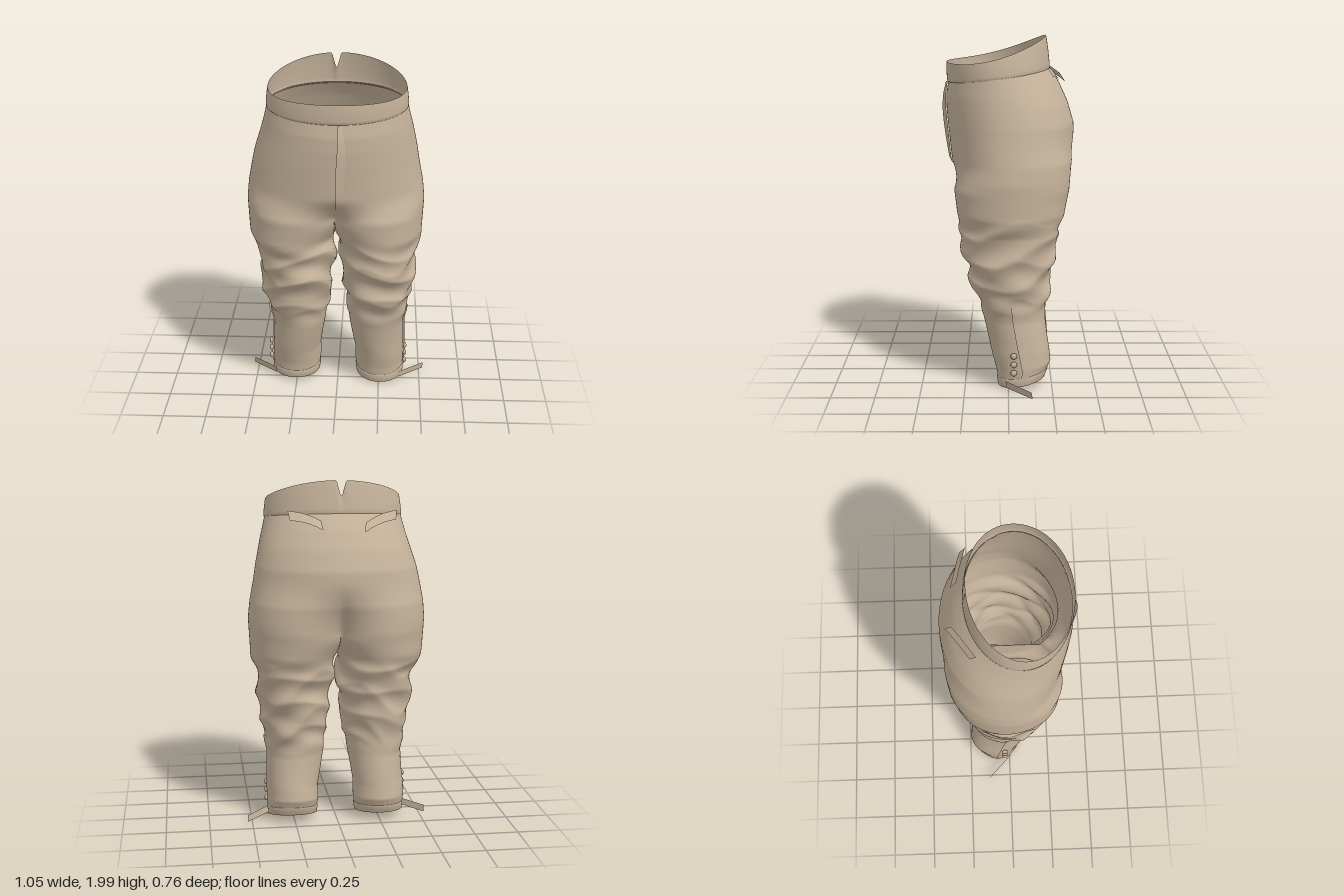
import * as THREE from 'three';
import { mergeGeometries, mergeVertices } from 'three/addons/utils/BufferGeometryUtils.js';

const { smoothstep, lerp } = THREE.MathUtils;
const DEG = Math.PI / 180;
const CROTCH = 1.12, TOP = 1.79, OUTER = 64, INNER = 24;

// Profile of one half: height, outer x, inner x, front z, back z
const PROFILE = [
  [0.00, 0.395, 0.118, 0.055, -0.205], [0.10, 0.40, 0.105, 0.07, -0.243], [0.20, 0.40, 0.105, 0.095, -0.235],
  [0.40, 0.39, 0.075, 0.145, -0.215], [0.50, 0.41, 0.06, 0.17, -0.22], [0.62, 0.44, 0.04, 0.215, -0.235],
  [0.80, 0.457, 0.02, 0.262, -0.265], [0.90, 0.465, 0.01, 0.272, -0.29], [1.00, 0.502, 0.005, 0.288, -0.315],
  [1.20, 0.513, 0.005, 0.315, -0.358], [1.30, 0.503, 0.005, 0.328, -0.38], [1.50, 0.465, 0.005, 0.348, -0.376],
  [1.60, 0.439, 0.005, 0.355, -0.342], [1.70, 0.414, 0.005, 0.356, -0.29], [1.79, 0.393, 0.005, 0.343, -0.233]
];

function profileAt(y) {
  let i = 0;
  while (i < PROFILE.length - 2 && y > PROFILE[i + 1][0]) i++;
  const a = PROFILE[i], b = PROFILE[i + 1], t = THREE.MathUtils.clamp((y - a[0]) / (b[0] - a[0]), 0, 1);
  return a.map((v, k) => lerp(v, b[k], t));
}

// Sharp-crested diagonal folds bunched around the knees
function fold(a, y, side) {
  const mask = smoothstep(y, 0.4, 0.56) * (1 - smoothstep(y, 0.9, 1.03));
  const ridge = p => 1 - 1.7 * Math.abs(Math.sin(p));
  const f = 0.010 * ridge(19 * y + 1.3 * Math.sin(a + side) + 0.7 * Math.sin(2 * a + 7 * y))
    + 0.009 * ridge(14 * y - a + side + 0.8 * Math.sin(3 * a))
    + 0.006 * Math.sin(3 * a + 23 * y * side + Math.sin(11 * y));
  const shin = 0.004 * Math.sin(2 * a + 9 * y + side) * (1 - smoothstep(y, 0.4, 0.6)) * smoothstep(y, 0.1, 0.3);
  return f * mask + shin;
}

// Surface point; u 0..1 runs front centre - outside - back centre, 1..2 along the inner leg
function point(y, u, side, lift = 0) {
  const [, o, i, zf, zb] = profileAt(y);
  const cx = (o + i) / 2, rx = (o - i) / 2, cz = (zf + zb) / 2, rz = (zf - zb) / 2;
  const a = (u <= 1 ? lerp(-50, 230, u) : lerp(230, 310, u - 1)) * DEG;
  const d = fold(a, y, side) + lift;
  let x = cx + (rx + d) * Math.sin(a), z = cz + (rz + d) * Math.cos(a);
  // Close the legs together at the crotch
  const k = smoothstep(y, 0.96, CROTCH), end = cx - rx * Math.sin(50 * DEG);
  x = Math.max(lerp(x, (x - end) * o / (o - end), k), 0.004 * (1 - k));
  // Blend leg into torso: quickly at the front, slowly at the back to leave a cleft
  const w = smoothstep(y, CROTCH - 0.02, lerp(1.3, 1.46, smoothstep(u, 0.25, 0.75)));
  if (w > 0 && y >= CROTCH) {
    const t = Math.PI * Math.min(u, 1), c = Math.cos(t), v = w * smoothstep(y, CROTCH, CROTCH + 0.06);
    const square = lerp(1, 0.9, smoothstep(y, 1.12, 1.3) * (1 - smoothstep(y, 1.55, 1.75)));
    x = lerp(x, (o + lift) * Math.sin(t), v);
    z = lerp(z, cz + (rz + lift) * (c < 0 ? -Math.pow(-c, square) : c), v);
  }
  if (y >= CROTCH && (u === 0 || u === 1)) x = 0;
  const low = 1 - smoothstep(y, 0, 0.3);
  const height = y + low * (side > 0 ? 0.005 + (0.055 - z) * 0.2 : 0.025 + (0.055 - z) * 0.1)
    - 0.13 * z * smoothstep(y, 1.45, TOP);
  // The hips hang slightly to one side
  const sway = -0.012 * smoothstep(y, 0.88, 1.0) * (1 - smoothstep(y, 1.4, 1.7));
  return [x * side + sway, height, z];
}

// Skin a list of equal-length rows of points
function skin(rows, closed = false, flip = false) {
  const n = rows[0].length, index = [], m = closed ? n : n - 1;
  for (let r = 0; r < rows.length - 1; r++) for (let c = 0; c < m; c++) {
    const a = r * n + c, b = r * n + (c + 1) % n, d = a + n, e = b + n;
    if (flip) index.push(a, d, b, b, d, e);
    else index.push(a, b, d, b, e, d);
  }
  const g = new THREE.BufferGeometry();
  g.setAttribute('position', new THREE.Float32BufferAttribute(rows.flat(2), 3));
  g.setIndex(index);
  g.computeVertexNormals();
  return g;
}

const span = (n, f) => Array.from({ length: n + 1 }, (_, i) => f(i / n));
const legRing = (y, side, lift = 0) => Array.from({ length: OUTER + INNER }, (_, i) =>
  point(y, i <= OUTER ? i / OUTER : 1 + (i - OUTER) / INNER, side, lift));

export function createModel() {
  const group = new THREE.Group();
  const cloth = new THREE.MeshStandardMaterial({ color: 0xc6b39b, side: THREE.DoubleSide });
  cloth.name = 'tan cloth';
  const add = (name, geometry) => {
    const mesh = new THREE.Mesh(geometry, cloth);
    mesh.name = name;
    group.add(mesh);
    return mesh;
  };

  // Legs and seat, welded into one smooth garment
  const parts = [];
  for (const side of [1, -1]) {
    parts.push(skin(span(100, t => legRing(t * CROTCH, side)), true, side < 0));
    parts.push(skin(span(44, t => {
      const y = lerp(CROTCH, TOP, t);
      return span(OUTER, u => point(y, u, side));
    }), false, side < 0));
  }
  parts.forEach(g => g.deleteAttribute('normal'));
  const garment = mergeVertices(mergeGeometries(parts), 1e-4);
  garment.computeVertexNormals();
  add('trousers', garment);

  // Waistband rising in a curve to a notch at the back
  const bandRow = (t, lift) => Array.from({ length: 256 }, (_, i) => {
    const a = i / 256 * Math.PI * 2;
    const x = (lerp(0.396, 0.386, t) + lift) * Math.sin(a);
    const z = lerp(0.056, 0.069, t) + (lerp(0.291, 0.284, t) + lift) * Math.cos(a);
    const notch = z < 0 ? 0.1 * Math.max(0, 1 - Math.abs(x + 0.015) / 0.027) : 0;
    const y = lerp(1.783 - 0.13 * z, 1.902 - 0.33 * z + 0.51 * z * z - notch, t);
    return [x, y, z];
  });
  add('waistband', skin([bandRow(0, -0.004), bandRow(0, 0.002), bandRow(0.15, 0.004), bandRow(0.5, 0.004),
    bandRow(0.9, 0.002), bandRow(1, 0)], true));

  // Front fly overlap, standing slightly proud along its free edge
  add('fly', skin(span(24, t => {
    const y = lerp(1.2, 1.78, t), wide = 0.035 * Math.sin(Math.PI * (0.12 + 0.7 * t));
    return span(4, v => {
      const p = point(y, v * wide, 1);
      return [p[0] + 0.012, p[1], p[2] + 0.003 + 0.022 * (1 - v) * Math.sin(Math.PI * (0.05 + 0.8 * t))];
    });
  })));

  // Loose cinch tabs at the back of the waist: start, tip
  const tabs = {
    left: [[0.285, 1.805, -0.232], [0.105, 1.755, -0.285]],
    right: [[-0.335, 1.80, -0.19], [-0.14, 1.745, -0.318]]
  };

  for (const side of [1, -1]) {
    const label = side > 0 ? 'left' : 'right';
    const [start, tip] = tabs[label];
    add(label + 'BackTab', skin(span(6, t => {
      const [x, y, z] = start.map((v, k) => lerp(v, tip[k], t));
      const sag = 0.012 * Math.sin(t * Math.PI);
      return [[x, y + 0.025 + sag, z + 0.018], [x - side * 0.01, y - 0.025 + sag, z - 0.016]];
    })));

    // Side placket and its three buttons
    add(label + 'Placket', skin(span(24, t => span(4, v =>
      point(lerp(0.03, 0.5, t), lerp(0.49, 0.56, v), side, 0.009 - 0.009 * v))), false, side < 0));
    for (let i = 0; i < 3; i++) {
      const button = add(label + 'Button', new THREE.SphereGeometry(0.018, 16, 10));
      button.scale.x = 0.6;
      button.position.set(side * 0.409, (side > 0 ? 0.115 : 0.135) + i * 0.05, -0.03);
    }

    // Rolled hem edge
    const roll = [[0, 0.001], [0, 0.004], [0.025, 0.005], [0.045, 0.004], [0.05, 0]];
    add(label + 'Hem', skin(roll.map(([y, lift]) => legRing(y, side, lift)), true, side < 0));

    // Loose ankle strap
    const drop = side > 0 ? 0 : 0.016;
    add(label + 'Strap', skin(span(8, t => {
      const x = side * lerp(0.375, 0.525, t), z = lerp(0.01, -0.135, t);
      const y = lerp(0.035, 0.022, t) + drop;
      return [[x, y - 0.019, z], [x, y + 0.02, z + 0.006]];
    })));
  }
  return group;
}
